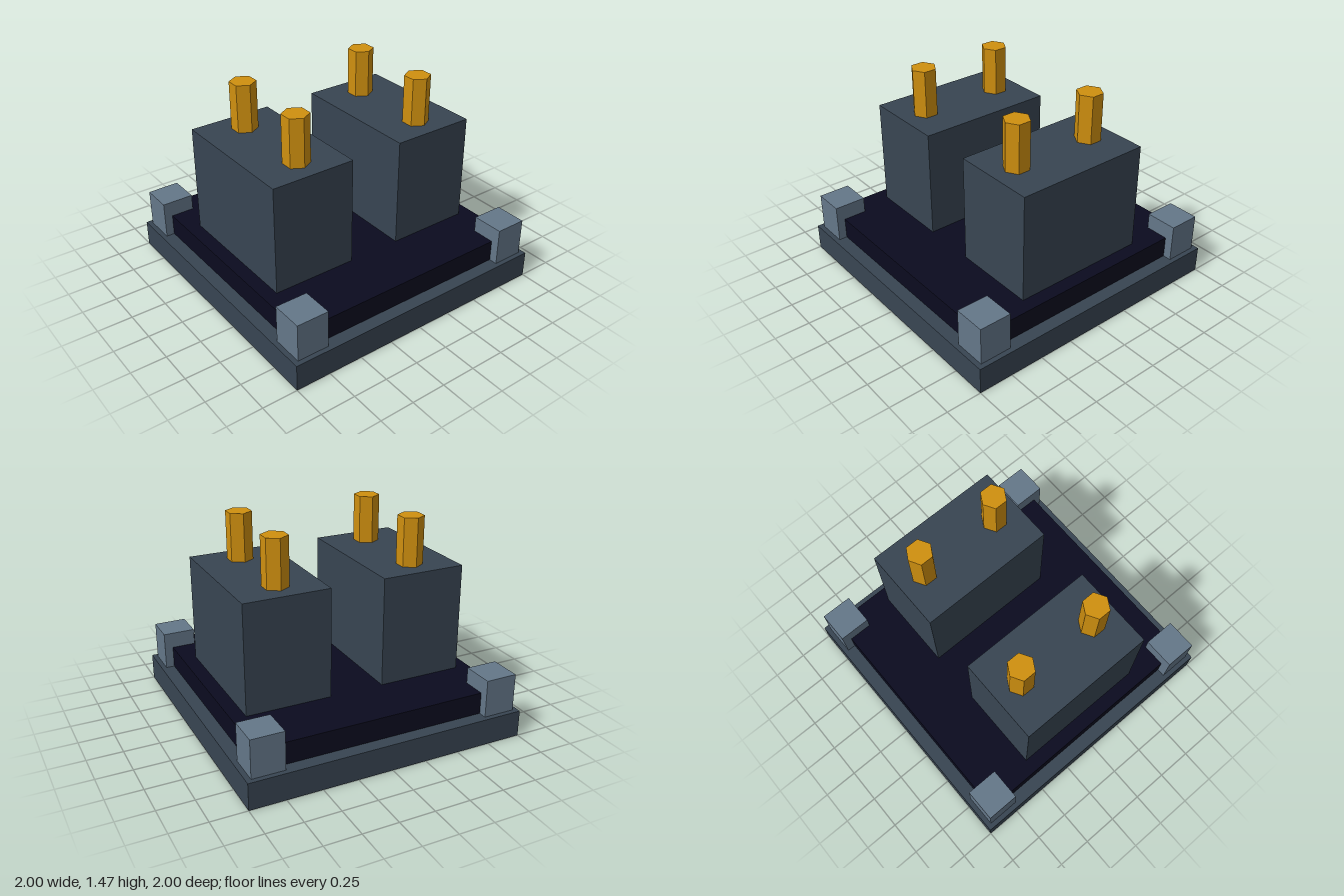
import * as THREE from 'three';

const material = (name, color) => {
  const m = new THREE.MeshStandardMaterial({ color, flatShading: true });
  m.name = name;
  return m;
};

export function createModel() {
  const slate = material('slate', 0x384552);
  const navy = material('dark navy', 0x0b0b1f);
  const steel = material('steel blue', 0x647789);
  const amber = material('amber', 0xd0900f);

  const model = new THREE.Group();
  model.name = 'twinBlockUnit';

  // Adds a part whose underside sits at height y
  const add = (name, geometry, mat, x, y, z, height) => {
    const mesh = new THREE.Mesh(geometry, mat);
    mesh.name = name;
    mesh.position.set(x, y + height / 2, z);
    model.add(mesh);
  };

  // Base plate and the raised deck on it
  add('basePlate', new THREE.BoxGeometry(2, 0.19, 2), slate, 0, 0, 0, 0.19);
  add('deck', new THREE.BoxGeometry(1.81, 0.155, 1.81), navy, 0, 0.19, 0, 0.155);

  const blockGeometry = new THREE.BoxGeometry(0.61, 0.775, 1);
  const cornerGeometry = new THREE.BoxGeometry(0.23, 0.27, 0.23);
  const pinGeometry = new THREE.CylinderGeometry(0.092, 0.092, 0.345, 6);

  for (const sx of [-1, 1]) {
    const side = sx > 0 ? 'left' : 'right';
    // Tall block on each side
    add(`${side}Block`, blockGeometry, slate, sx * 0.5, 0.345, 0, 0.775);

    for (const sz of [-1, 1]) {
      const end = sz > 0 ? 'Front' : 'Back';
      // Corner posts and hexagonal pins
      add(`${side}${end}CornerPost`, cornerGeometry, steel, sx * 0.85, 0.19, sz * 0.85, 0.27);
      add(`${side}${end}Pin`, pinGeometry, amber, sx * 0.5, 1.12, sz * 0.308, 0.345);
    }
  }
  return model;
}
